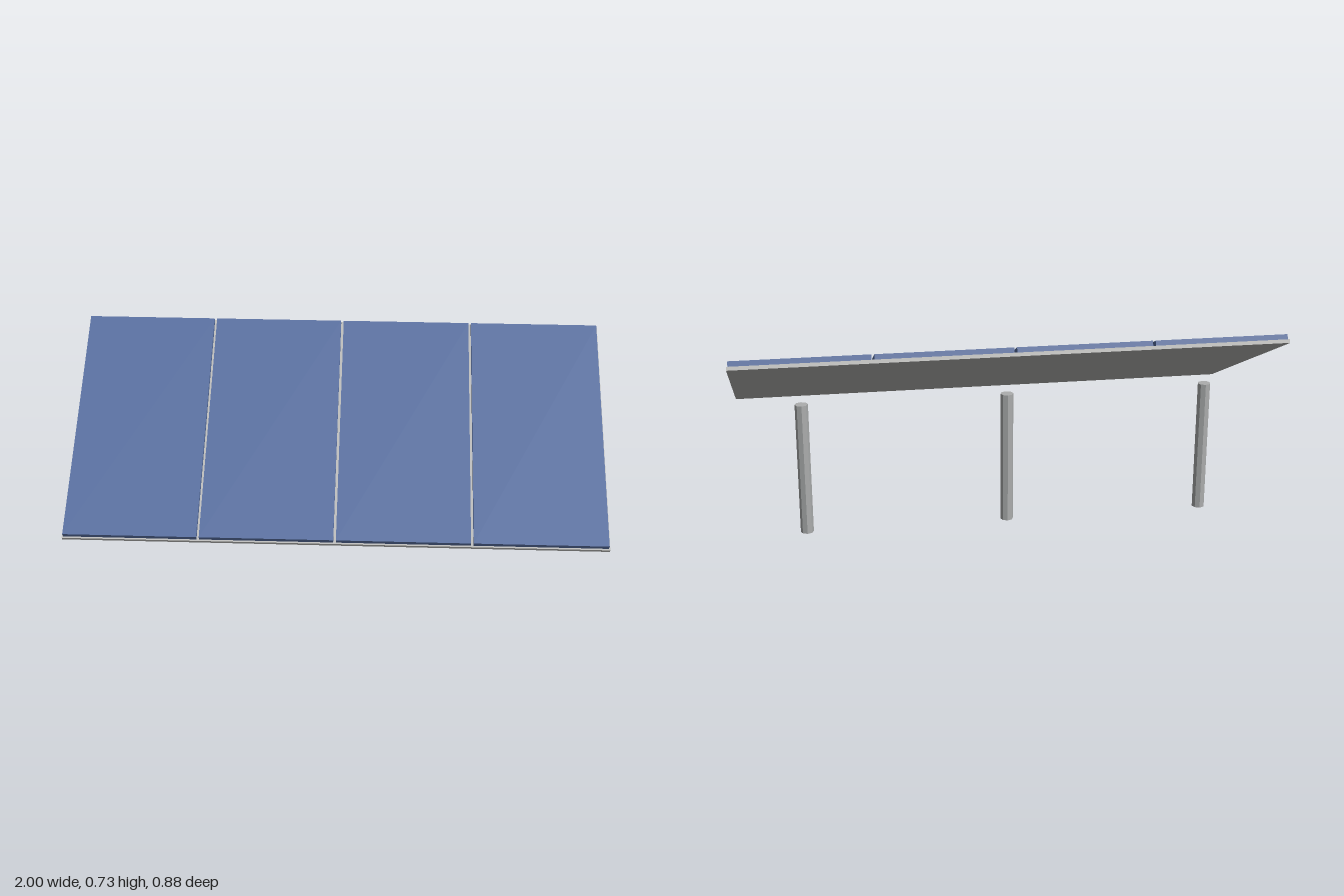
import * as THREE from 'three';

export function createModel() {
  const model = new THREE.Group();
  const material = (name, color) => {
    const m = new THREE.MeshStandardMaterial({ color });
    m.name = name;
    return m;
  };
  const blue = material('panelBlue', 0x566d9e);
  const frameGrey = material('frameGrey', 0xb8b8b6);
  const postGrey = material('postGrey', 0xacaeae);
  postGrey.flatShading = true;

  const add = (parent, name, geometry, mat, x, y, z) => {
    const mesh = new THREE.Mesh(geometry, mat);
    mesh.name = name;
    mesh.position.set(x, y, z);
    parent.add(mesh);
  };

  // Tilted array: thin backing frame carrying four panels, low edge at the front
  const array = new THREE.Group();
  array.name = 'tiltedArray';
  array.position.set(0, 0.503, -0.003);
  array.rotation.x = THREE.MathUtils.degToRad(25);
  model.add(array);

  const frameThick = 0.0135, panelThick = 0.0195;
  add(array, 'backingFrame', new THREE.BoxGeometry(2, frameThick, 0.96), frameGrey, 0, frameThick / 2, 0);
  const panel = new THREE.BoxGeometry(0.49, panelThick, 0.948);
  for (const x of [-0.75, -0.25, 0.25, 0.75]) {
    add(array, 'solarPanel', panel, blue, x, frameThick + panelThick / 2, 0);
  }

  // Three octagonal posts behind the middle
  const post = new THREE.CylinderGeometry(0.024, 0.024, 0.5, 8);
  for (const x of [-0.75, 0, 0.75]) add(model, 'post', post, postGrey, x, 0.25, -0.238);

  return model;
}
